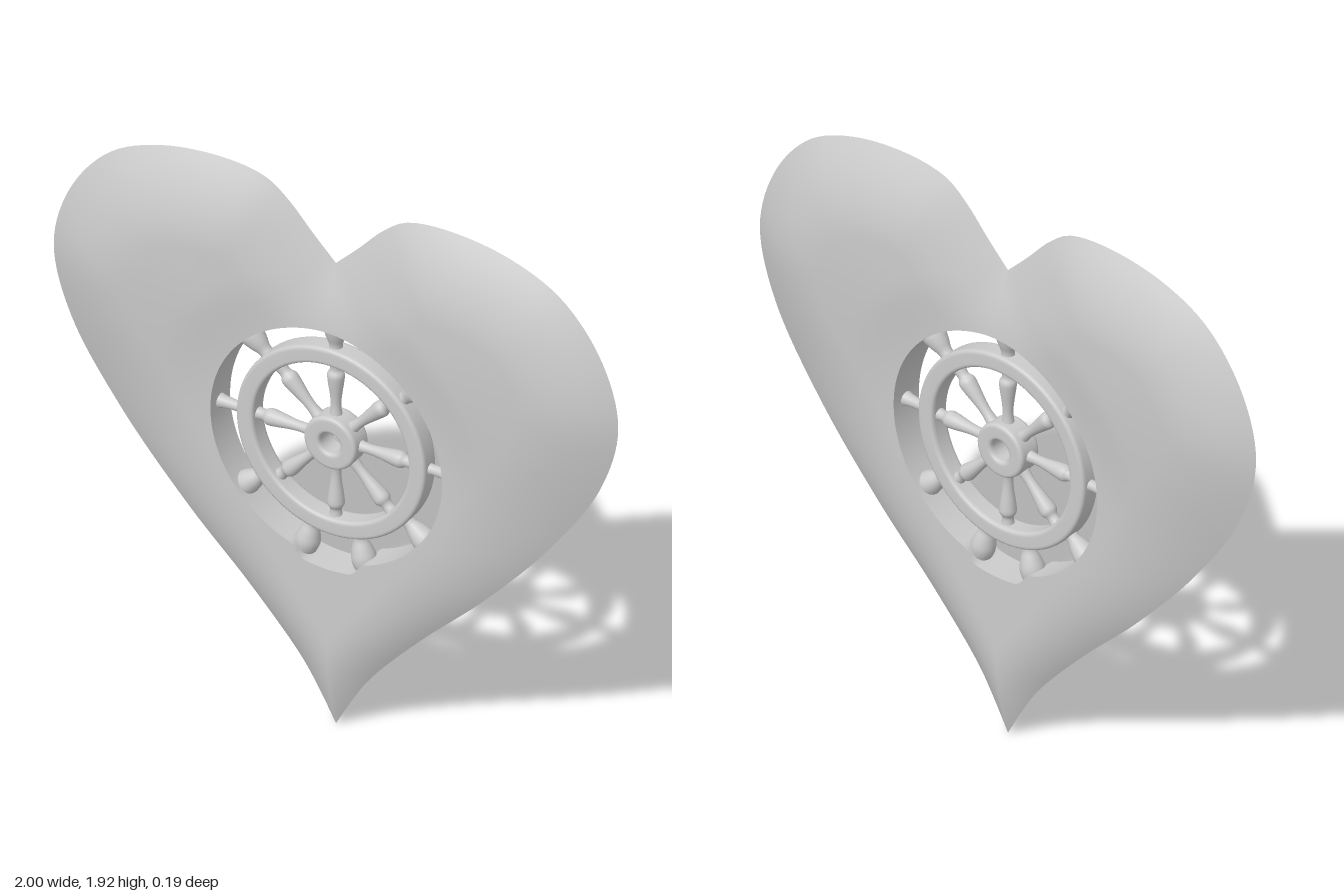
import * as THREE from 'three';

const CY = 1.035;            // height of the wheel centre
const COLS = 200, ROWS = 28;
const material = new THREE.MeshStandardMaterial({ color: 0xcccccc });
const smooth = THREE.MathUtils.smoothstep;

// Heart outline, clockwise from the notch to the tip and back up
const half = new THREE.CatmullRomCurve3([
  [0, 1.67], [0.08, 1.75], [0.17, 1.845], [0.25, 1.9], [0.4, 1.92], [0.62, 1.89], [0.8, 1.805],
  [0.94, 1.63], [1, 1.41], [0.94, 1.17], [0.76, 0.89], [0.52, 0.615], [0.3, 0.4], [0.12, 0.2],
  [0.05, 0.09], [0, 0],
].map(([x, y]) => new THREE.Vector3(x, y, 0))).getSpacedPoints(COLS / 2);
const outline = [...half, ...half.slice(0, -1).reverse().map((p) => new THREE.Vector3(-p.x, p.y, 0))];

function edgeDistance(x, y) {
  let best = 9;
  for (let i = 0; i < COLS; i++) {
    const a = outline[i], b = outline[i + 1];
    const ex = b.x - a.x, ey = b.y - a.y;
    const t = THREE.MathUtils.clamp(((x - a.x) * ex + (y - a.y) * ey) / (ex * ex + ey * ey), 0, 1);
    best = Math.min(best, Math.hypot(x - a.x - t * ex, y - a.y - t * ey));
  }
  return best;
}

// Half thickness: sharp edge, full lobes, dished around the wheel
function depth(x, y) {
  const width = 0.16 + 0.14 * smooth(y, 0.2, 1.2);
  const k = Math.max(0, 1 - edgeDistance(x, y) / width);
  const lobe = smooth(y, 0.8, 1.55) * smooth(Math.abs(x), 0, 0.5) * smooth(Math.hypot(x, y - CY), 0.3, 0.6);
  return (0.056 + 0.037 * lobe) * (1 - k * k);
}

// Point between the wheel opening (t = 0) and the outline (t = 1)
function heartPoint(i, t) {
  const p = outline[i];
  const r = Math.hypot(p.x, p.y - CY);
  const dx = p.x / r, dy = (p.y - CY) / r;
  const hole = 0.41 + 0.035 * smooth(-dy, 0.95, 0.985);
  const s = hole + (r - hole) * t;
  const x = dx * s, y = CY + dy * s;
  return [x, y, t === 1 ? 0 : depth(x, y)];
}

function grid(rows, point, flip) {
  const pos = [], index = [];
  for (let j = 0; j <= rows; j++) {
    for (let i = 0; i <= COLS; i++) pos.push(...point(i, j / rows));
  }
  for (let j = 0; j < rows; j++) {
    for (let i = 0; i < COLS; i++) {
      const a = j * (COLS + 1) + i, b = a + 1, c = a + COLS + 1, d = c + 1;
      index.push(...(flip ? [a, c, b, b, c, d] : [a, b, c, b, d, c]));
    }
  }
  const g = new THREE.BufferGeometry();
  g.setAttribute('position', new THREE.Float32BufferAttribute(pos, 3));
  g.setIndex(index);
  g.computeVertexNormals();
  return g;
}

function add(parent, name, geometry) {
  const mesh = new THREE.Mesh(geometry, material);
  mesh.name = name;
  parent.add(mesh);
  return mesh;
}

// Turned ring lying in the xy plane, with rounded corners
function ring(inner, outer, h) {
  const c = 0.014;
  const s = new THREE.Shape();
  s.moveTo(inner, -h + c);
  s.quadraticCurveTo(inner, -h, inner + c, -h);
  s.lineTo(outer - c, -h);
  s.quadraticCurveTo(outer, -h, outer, -h + c);
  s.lineTo(outer, h - c);
  s.quadraticCurveTo(outer, h, outer - c, h);
  s.lineTo(inner + c, h);
  s.quadraticCurveTo(inner, h, inner, h - c);
  s.lineTo(inner, -h + c);
  // wound so that the faces look outwards
  const pts = s.getPoints(4);
  return new THREE.LatheGeometry(pts, 72).rotateX(Math.PI / 2);
}

// Turned spindle from [radius, height] pairs
function spindle(profile) {
  const curve = new THREE.SplineCurve(profile.map(([r, y]) => new THREE.Vector2(r, y)));
  const pts = curve.getPoints(24).map((p) => new THREE.Vector2(Math.max(p.x, 0), p.y));
  return new THREE.LatheGeometry(pts, 16);
}

export function createModel() {
  const model = new THREE.Group();

  // Heart body
  const heart = new THREE.Group();
  heart.name = 'heart';
  model.add(heart);
  add(heart, 'heartFront', grid(ROWS, heartPoint, false));
  add(heart, 'heartBack', grid(ROWS, (i, t) => {
    const [x, y, z] = heartPoint(i, t);
    return [x, y, -z];
  }, true));
  add(heart, 'openingWall', grid(2, (i, t) => {
    const [x, y, z] = heartPoint(i, 0);
    return [x, y, z * (2 * t - 1)];
  }, false));

  // Ship's wheel
  const wheel = new THREE.Group();
  wheel.name = 'wheel';
  wheel.position.y = CY;
  model.add(wheel);
  add(wheel, 'rim', ring(0.275, 0.335, 0.036));
  add(wheel, 'hub', ring(0.036, 0.092, 0.042));

  const spoke = spindle([[0.024, 0.07], [0.017, 0.11], [0.018, 0.15], [0.026, 0.21], [0.027, 0.235], [0.018, 0.255], [0.024, 0.29]]);
  for (let i = 0; i < 8; i++) add(wheel, 'spoke', spoke).rotation.z = (i * Math.PI) / 4;

  // Handles around the rim: a slim neck and a rounded grip running into the heart
  const grip = spindle([[0.024, 0.315], [0.022, 0.345], [0.032, 0.375], [0.04, 0.41], [0.034, 0.445], [0.018, 0.463], [0, 0.467]]);
  const slim = spindle([[0.024, 0.315], [0.017, 0.345], [0.02, 0.39], [0.027, 0.425], [0.018, 0.45], [0, 0.457]]);
  const handle = (geometry, degrees) => {
    add(wheel, 'handle', geometry).rotation.z = THREE.MathUtils.degToRad(degrees);
  };
  handle(grip, 0);
  for (const side of [-1, 1]) {
    handle(grip, side * 47);
    handle(slim, side * 90);
    handle(grip, side * 130);
    handle(grip, side * 166);
  }
  return model;
}
